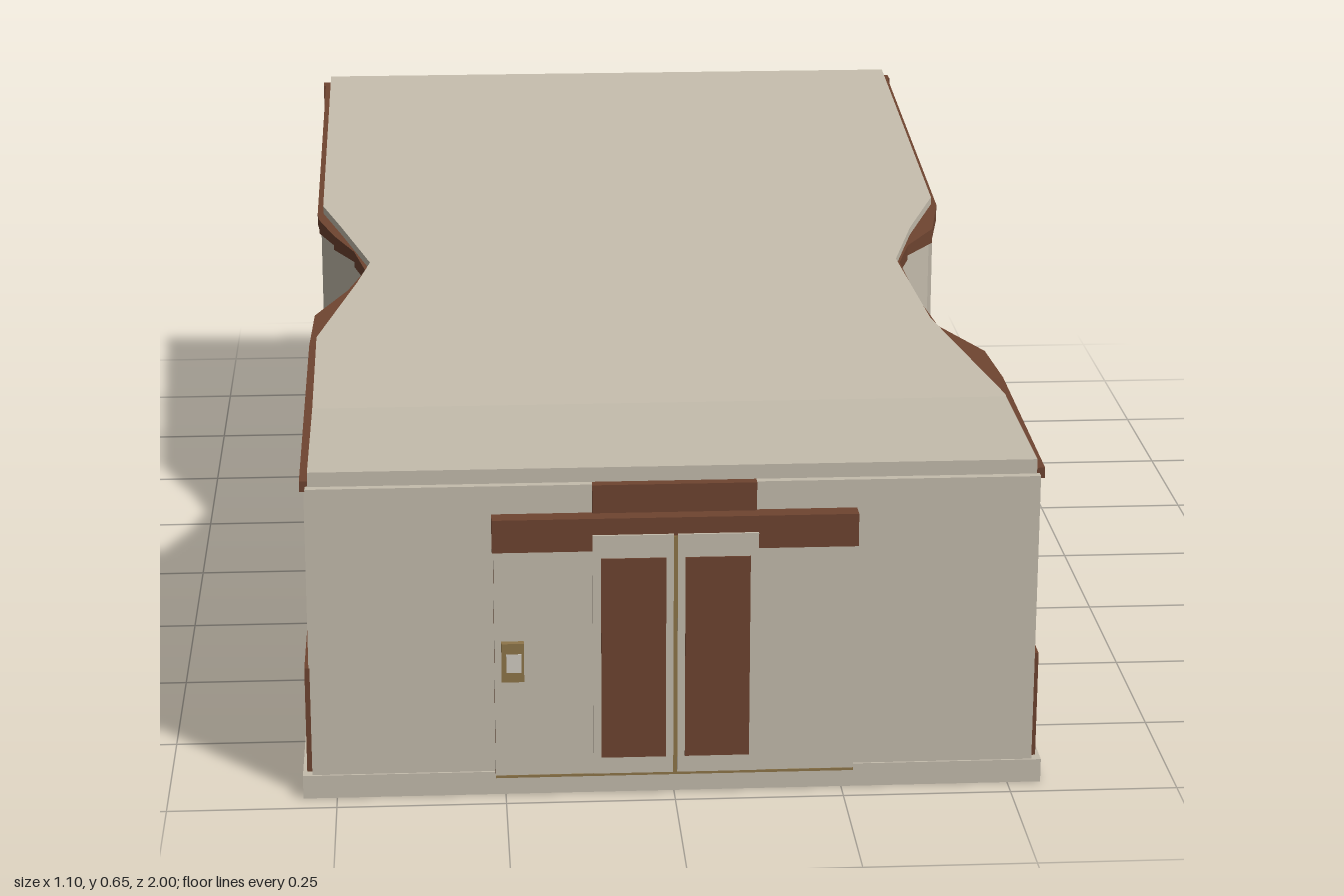
import * as THREE from 'three';

const mat = (name, color) => {
  const m = new THREE.MeshStandardMaterial({ color });
  m.name = name;
  return m;
};

// Height of the roof surface: level at the entrance, rising to the back
const roofTop = (z) => (z > 0.65 ? 0.505 : 0.505 + ((0.65 - z) / 1.63) * 0.145);
const roofUnder = (z) => roofTop(z) - 0.013;

// Linear lookup of x along a path of [z, x] points with falling z
function xAt(path, z) {
  for (let i = 0; i < path.length - 1; i++) {
    const [za, xa] = path[i];
    const [zb, xb] = path[i + 1];
    if (z <= za && z >= zb) return xa + ((xb - xa) * (za - z)) / (za - zb);
  }
  return path[path.length - 1][1];
}

// Solid through rectangular sections {z, x0, x1, y0, y1}, ordered front to back
function loft(rows) {
  const pos = [];
  const corners = rows.map((r) => [
    [r.x0, r.y0, r.z], [r.x1, r.y0, r.z], [r.x1, r.y1, r.z], [r.x0, r.y1, r.z],
  ]);
  const quad = (a, b, c, d) => pos.push(...a, ...b, ...c, ...a, ...c, ...d);
  for (let i = 0; i < corners.length - 1; i++) {
    const f = corners[i];
    const b = corners[i + 1];
    for (let k = 0; k < 4; k++) {
      const n = (k + 1) % 4;
      quad(f[k], b[k], b[n], f[n]);
    }
  }
  quad(...corners[0]);
  quad(...corners[corners.length - 1].slice().reverse());
  const g = new THREE.BufferGeometry();
  g.setAttribute('position', new THREE.Float32BufferAttribute(pos, 3));
  g.computeVertexNormals();
  return g;
}

export function createModel() {
  const cream = mat('cream plaster', 0xc4bcac);
  const brown = mat('brown cladding', 0x6e4430);
  const glass = mat('teal glass', 0x495d5f);
  const tan = mat('tan metal', 0x8e7549);
  const pale = mat('pale panel', 0xd2cdc2);

  const model = new THREE.Group();
  model.name = 'pavilion';

  const add = (name, geometry, material) => {
    const mesh = new THREE.Mesh(geometry, material);
    mesh.name = name;
    model.add(mesh);
    return mesh;
  };
  // Box given by its limits on each axis
  const box = (name, material, [x0, x1], [y0, y1], [z0, z1]) => {
    const g = new THREE.BoxGeometry(x1 - x0, y1 - y0, z1 - z0);
    g.translate((x0 + x1) / 2, (y0 + y1) / 2, (z0 + z1) / 2);
    return add(name, g, material);
  };

  box('base', cream, [-0.55, 0.55], [0, 0.036], [-1, 0.965]);

  // Side walls: plinth, plaster and stepped trim follow a bent path
  const walls = {
    left: {
      sign: 1,
      path: [[0.948, 0.538], [0.54, 0.538], [0.43, 0.525], [0.32, 0.465], [0.19, 0.447],
        [0.03, 0.438], [-0.05, 0.462], [-0.13, 0.515], [-0.25, 0.538], [-0.98, 0.538]],
    },
    right: {
      sign: -1,
      path: [[0.948, 0.538], [0.36, 0.538], [0.23, 0.532], [0.12, 0.48], [0.03, 0.452],
        [-0.06, 0.472], [-0.14, 0.508], [-0.22, 0.535], [-0.25, 0.538], [-0.98, 0.538]],
    },
  };
  const trimBottom = (z) => 0.475 + 0.08 * THREE.MathUtils.clamp((0.56 - z) / 0.81, 0, 1);
  for (const [side, { sign, path }] of Object.entries(walls)) {
    for (let i = 0; i < path.length - 1; i++) {
      const ends = [path[i], path[i + 1]];
      const split = trimBottom(ends[0][0]);
      const piece = (name, material, out, low, high) => {
        add(name, loft(ends.map(([z, x]) => {
          const a = sign * 0.4;
          const b = sign * (x + out);
          return { z, x0: Math.min(a, b), x1: Math.max(a, b), y0: low, y1: high(z) };
        })), material);
      };
      piece(side + 'Plinth', brown, 0.006, 0.036, () => 0.2);
      piece(side + 'Wall', cream, 0, 0.2, () => split);
      piece(side + 'Trim', brown, 0.006, split, (z) => roofUnder(z) - 0.001);
    }
  }

  // Roof sheet with a waist of its own
  const roofLeft = [[0.95, 0.532], [0.64, 0.532], [0.32, 0.458], [0.05, 0.435],
    [-0.1, 0.478], [-0.25, 0.534], [-0.98, 0.534]];
  const roofRight = [[0.95, 0.532], [0.36, 0.532], [0.12, 0.47], [0.03, 0.45],
    [-0.14, 0.5], [-0.25, 0.534], [-0.98, 0.534]];
  const roofZ = [...new Set([...roofLeft, ...roofRight].map((p) => p[0]).concat(0.65))]
    .sort((a, b) => b - a);
  add('roof', loft(roofZ.map((z) => ({
    z, x0: -xAt(roofRight, z), x1: xAt(roofLeft, z), y0: roofUnder(z), y1: roofTop(z),
  }))), cream);

  // Entrance front
  box('frontWall', cream, [-0.536, 0.536], [0.036, 0.483], [0.93, 0.962]);
  box('frontFascia', cream, [-0.532, 0.532], [0.483, 0.505], [0.93, 0.95]);
  box('signPanel', brown, [-0.12, 0.12], [0.43, 0.483], [0.95, 0.966]);
  box('portal', brown, [-0.265, 0.265], [0.036, 0.39], [0.95, 0.978]);
  box('canopy', brown, [-0.267, 0.267], [0.39, 0.44], [0.95, 0.99]);
  box('threshold', tan, [-0.265, 0.265], [0.036, 0.04], [0.95, 0.989]);
  box('doorGap', tan, [-0.004, 0.004], [0.04, 0.412], [0.97, 0.993]);
  for (const s of [-1, 1]) {
    const span = (a, b) => (s > 0 ? [a, b] : [-b, -a]);
    box('portalPanel', cream, span(0.12, 0.265), [0.04, 0.39], [0.978, 0.988]);
    box('door', cream, span(0.003, 0.121), [0.042, 0.415], [0.975, 0.994]);
    box('doorPane', brown, span(0.014, 0.109), [0.068, 0.38], [0.99, 0.996]);
  }

  // Door entry panel
  box('keypadFrame', tan, [-0.255, -0.222], [0.192, 0.252], [0.985, 0.999]);
  box('keypadPlate', pale, [-0.248, -0.226], [0.207, 0.236], [0.995, 1]);

  // Glazed back
  box('backGlass', glass, [-0.53, 0.53], [0.1, 0.6], [-0.983, -0.96]);
  box('backSill', brown, [-0.543, 0.543], [0.036, 0.11], [-1, -0.96]);
  box('backLintel', brown, [-0.548, 0.548], [0.585, 0.634], [-1, -0.97]);
  box('backLintelStep', brown, [-0.54, 0.54], [0.565, 0.585], [-0.99, -0.97]);
  for (const x of [-0.53, 0, 0.53]) {
    box('mullion', tan, [x - 0.01, x + 0.01], [0.11, 0.58], [-0.992, -0.97]);
  }

  return model;
}
